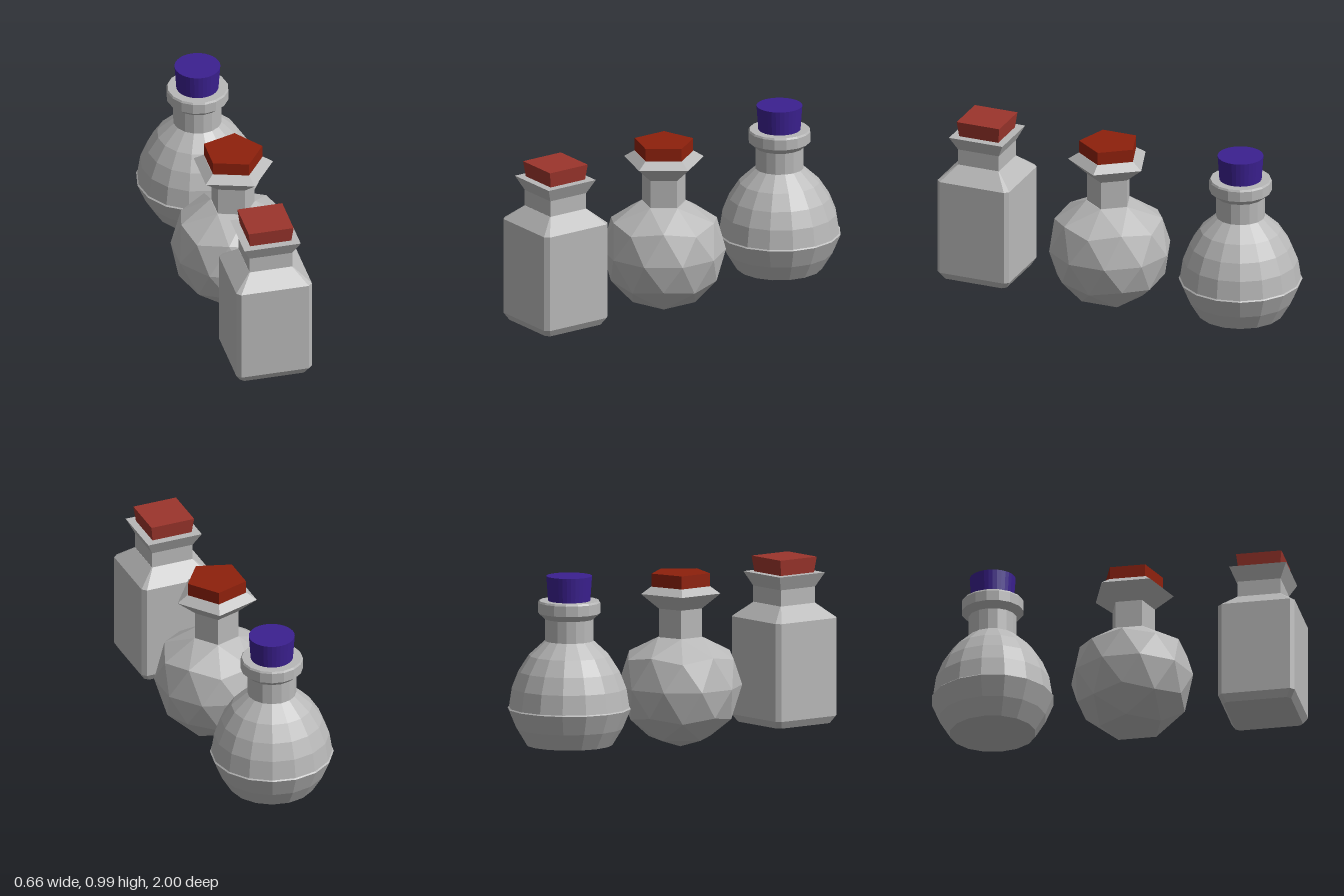
import * as THREE from 'three';
import { ConvexGeometry } from 'three/addons/geometries/ConvexGeometry.js';

const mat = (name, color) => {
  const m = new THREE.MeshStandardMaterial({ color });
  m.name = name;
  return m;
};

// Faceted turned shape with few sides; profile is [radius, y] from bottom to top
function turned(profile, sides, start = 0) {
  const pts = profile.map(([r, y]) => new THREE.Vector2(r, y));
  const g = new THREE.LatheGeometry(pts, sides, start).toNonIndexed();
  g.computeVertexNormals();
  return g;
}

// Regular ring of points, first one at the given angle from +x
function ring(n, r, y, angle = 0) {
  return Array.from({ length: n }, (_, i) => {
    const a = angle + (i / n) * Math.PI * 2;
    return new THREE.Vector3(r * Math.cos(a), y, r * Math.sin(a));
  });
}

// Square ring with cut corners
function squareRing(h, y, cut) {
  const pts = [];
  for (const sx of [-1, 1]) for (const sz of [-1, 1]) {
    pts.push(new THREE.Vector3(sx * h, y, sz * (h - cut)));
    pts.push(new THREE.Vector3(sx * (h - cut), y, sz * h));
  }
  return pts;
}

export function createModel() {
  const glass = mat('grey glass', 0xb8b8b8);
  const redCork = mat('soft red', 0x9c352c);
  const darkCork = mat('deep red', 0x8e200c);
  const violetCork = mat('violet', 0x3b2090);

  const model = new THREE.Group();
  model.name = 'bottles';

  const bottle = (name, z, parts) => {
    const group = new THREE.Group();
    group.name = name;
    group.position.z = z;
    for (const [part, geometry, material] of parts) {
      const mesh = new THREE.Mesh(geometry, material);
      mesh.name = part;
      group.add(mesh);
    }
    model.add(group);
  };

  // Square bottle: chamfered box body, four-sided neck and flared rim
  const q = Math.SQRT2;
  const squareBody = new ConvexGeometry([
    ...squareRing(0.183, 0.07, 0.02),
    ...squareRing(0.207, 0.11, 0.022),
    ...squareRing(0.207, 0.635, 0.022),
    ...squareRing(0.118, 0.713, 0.003),
  ]);
  bottle('squareBottle', 0.793, [
    ['squareBody', squareBody, glass],
    ['squareNeck', turned([[0.117 * q, 0.70], [0.117 * q, 0.80], [0.154 * q, 0.876], [0, 0.876]], 4, Math.PI / 4), glass],
    ['squareCork', turned([[0.112 * q, 0.87], [0.123 * q, 0.96], [0, 0.96]], 4, Math.PI / 4), redCork],
  ]);

  // Faceted flask: geodesic body flattened under a five-sided neck
  const R = 0.33, cy = 0.335, s = Math.PI / 5;
  const facetBody = new ConvexGeometry([
    ...ring(5, 0.125, 0.597),
    ...ring(5, R * 0.894, cy + R * 0.447),
    ...ring(5, R * 0.851, cy + R * 0.526, s),
    ...ring(10, R, cy, s / 2),
    ...ring(5, R * 0.894, cy - R * 0.447, s),
    ...ring(5, R * 0.851, cy - R * 0.526),
    ...ring(5, R * 0.526, cy - R * 0.851, s),
    new THREE.Vector3(0, cy - R, 0),
  ]);
  bottle('facetFlask', 0.085, [
    ['facetBody', facetBody, glass],
    ['facetNeck', turned([[0.121, 0.58], [0.121, 0.75], [0.222, 0.833], [0.166, 0.87], [0, 0.87]], 5, Math.PI / 2), glass],
    ['facetCork', turned([[0.163, 0.86], [0.163, 0.94], [0, 0.94]], 5, Math.PI / 2), darkCork],
  ]);

  // Round flask: sixteen-sided pear body with a collar
  const roundProfile = [
    [0, 0.085], [0.23, 0.085], [0.285, 0.175], [0.329, 0.28], [0.322, 0.286],
    [0.306, 0.39], [0.27, 0.48], [0.215, 0.565], [0.13, 0.643],
    [0.13, 0.76], [0.166, 0.792], [0.166, 0.848], [0.16, 0.858], [0, 0.858],
  ];
  bottle('roundFlask', -0.67, [
    ['roundBody', turned(roundProfile, 16), glass],
    ['roundCork', turned([[0.112, 0.85], [0.122, 0.99], [0, 0.99]], 32), violetCork],
  ]);

  return model;
}
